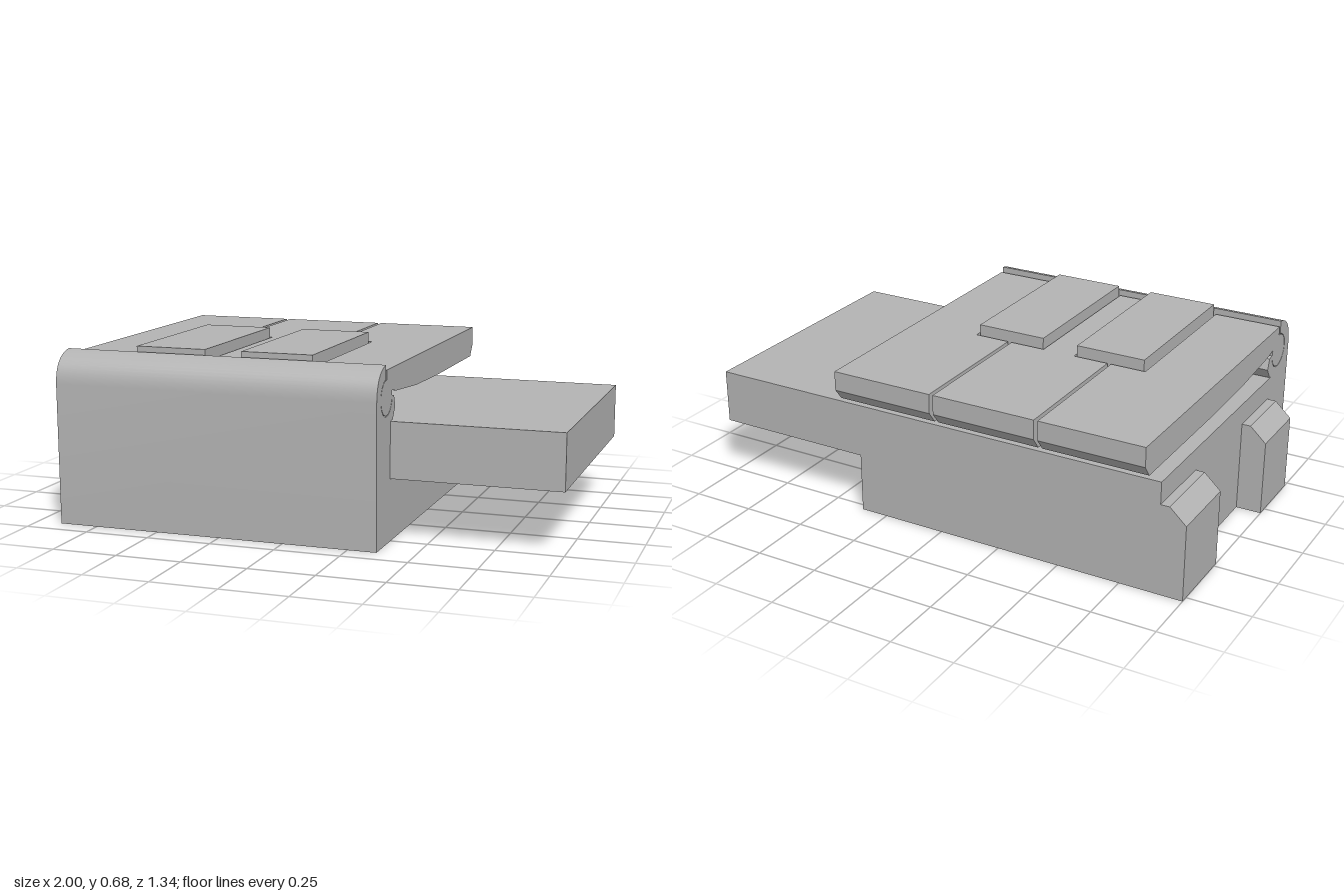
import * as THREE from 'three';
import { toCreasedNormals } from 'three/addons/utils/BufferGeometryUtils.js';

const X0 = -0.9, X1 = 0.36;          // width of the body
const HZ = 0.558, HY = 0.54;         // hinge axis (z, y)
const SLAB_Y0 = 0.235, SLAB_Y1 = 0.447;

export function createModel() {
  const model = new THREE.Group();
  model.name = 'leverBlock';
  const grey = new THREE.MeshStandardMaterial({ color: 0xb3b3b3 });
  grey.name = 'plain grey';

  function add(name, geometry, parent = model) {
    const mesh = new THREE.Mesh(geometry, grey);
    mesh.name = name;
    parent.add(mesh);
    return mesh;
  }

  function box(name, x0, x1, y0, y1, z0, z1, parent) {
    const g = new THREE.BoxGeometry(x1 - x0, y1 - y0, z1 - z0);
    g.translate((x0 + x1) / 2, (y0 + y1) / 2, (z0 + z1) / 2);
    return add(name, g, parent);
  }

  // Extrudes a (z, y) side profile from x0 to x1
  function sideProfile(name, shape, x0, x1, parent) {
    const g = new THREE.ExtrudeGeometry(shape, { depth: x1 - x0, bevelEnabled: false, curveSegments: 12 });
    g.rotateY(-Math.PI / 2);
    g.translate(x1, 0, 0);
    return add(name, toCreasedNormals(g, 0.5), parent);
  }

  const polygon = (pts) => new THREE.Shape(pts.map(([a, b]) => new THREE.Vector2(a, b)));

  function rod(name, x0, x1, parent) {
    const g = new THREE.CylinderGeometry(0.065, 0.065, x1 - x0, 28);
    g.rotateZ(Math.PI / 2);
    g.translate((x0 + x1) / 2, HY, HZ);
    return add(name, toCreasedNormals(g, 0.6), parent);
  }

  // Open frame under the slab
  const frame = polygon([[X0, -0.53], [X1, -0.53], [X1, 0.51], [X0, 0.51]]);
  frame.holes.push(new THREE.Path([[-0.74, -0.41], [-0.74, 0.35], [0.2, 0.35], [0.2, -0.41]]
    .map(([a, b]) => new THREE.Vector2(a, b))));
  const frameGeo = new THREE.ExtrudeGeometry(frame, { depth: SLAB_Y0, bevelEnabled: false });
  frameGeo.rotateX(Math.PI / 2);
  frameGeo.translate(0, SLAB_Y0, 0);
  add('baseFrame', frameGeo);

  // Long slab sticking out to one side
  box('slab', X0, 1, SLAB_Y0, SLAB_Y1, -0.53, 0.51);

  // Front wall curling into the hinge socket
  const hook = new THREE.Shape();
  hook.moveTo(0.51, 0);
  hook.lineTo(0.668, 0);
  hook.lineTo(0.672, 0.54);
  hook.quadraticCurveTo(0.668, 0.645, 0.566, 0.66);
  hook.lineTo(0.566, 0.607);
  hook.absarc(HZ, HY, 0.068, 1.45, -Math.PI * 2 + 0, true);
  const socket = new THREE.Shape();
  socket.moveTo(0.51, 0);
  socket.lineTo(0.668, 0);
  socket.lineTo(0.672, 0.54);
  socket.quadraticCurveTo(0.668, 0.645, 0.566, 0.66);
  socket.lineTo(0.566, 0.607);
  // the socket runs round the outer side of the rod and under it
  for (let i = 0; i <= 14; i++) {
    const a = 1.45 - (i / 14) * (1.45 + Math.PI);
    socket.lineTo(HZ + 0.068 * Math.cos(a), HY + 0.068 * Math.sin(a));
  }
  socket.lineTo(0.467, 0.535);
  socket.lineTo(0.452, 0.493);
  socket.lineTo(0.481, 0.45);
  socket.lineTo(0.51, SLAB_Y1);
  sideProfile('hingeWall', socket, X0, X1);

  // Chamfered feet on the end
  for (const [z0, z1] of [[-0.53, -0.23], [0.21, 0.475]]) {
    const foot = polygon([[-1, 0], [X0, 0], [X0, 0.36], [-0.935, 0.36], [-1, 0.3]]);
    const g = new THREE.ExtrudeGeometry(foot, { depth: z1 - z0, bevelEnabled: false });
    g.translate(0, 0, z0);
    add('endFoot', g);
  }

  // Three levers: wide at the back, narrow arms between the raised pads
  const back = polygon([[-0.67, 0.64], [-0.67, 0.565], [-0.635, 0.52], [-0.105, 0.52], [-0.105, 0.64]]);
  const arm = polygon([[-0.105, 0.52], [0.18, 0.527], [0.44, 0.548], [0.5, 0.56],
    [0.555, 0.56], [0.555, 0.64], [-0.105, 0.64]]);
  const levers = [
    { wide: [X0, -0.49], narrow: [X0, -0.63], button: -0.62 },
    { wide: [-0.475, -0.065], narrow: [-0.335, -0.205], button: -0.22 },
    { wide: [-0.05, X1], narrow: [0.09, X1], button: 0.14 },
  ];
  for (const { wide, narrow, button } of levers) {
    const lever = new THREE.Group();
    lever.name = 'lever';
    model.add(lever);
    sideProfile('leverPlate', back, ...wide, lever);
    sideProfile('leverArm', arm, ...narrow, lever);
    rod('hingeRod', ...narrow, lever);

    // Plunger below the lever with a wide collar
    const collar = new THREE.CylinderGeometry(0.085, 0.075, 0.037, 24);
    collar.translate(button, 0.502, -0.45);
    add('plungerCollar', toCreasedNormals(collar, 0.6), lever);
    box('plungerStem', button - 0.037, button + 0.037, SLAB_Y1, 0.5, -0.482, -0.408, lever);
  }

  // Raised pads, each with its own stretch of hinge rod
  const pad = polygon([[-0.095, 0.52], [0.18, 0.523], [0.44, 0.548], [0.5, 0.56],
    [0.555, 0.56], [0.555, 0.68], [-0.095, 0.68]]);
  for (const [x0, x1] of [[-0.62, -0.342], [-0.198, 0.08]]) {
    sideProfile('raisedPad', pad, x0, x1);
    rod('padRod', x0, x1);
  }

  // Support rail under the levers
  box('supportRail', -0.7, 0.15, SLAB_Y1, 0.52, -0.25, -0.178);

  return model;
}
